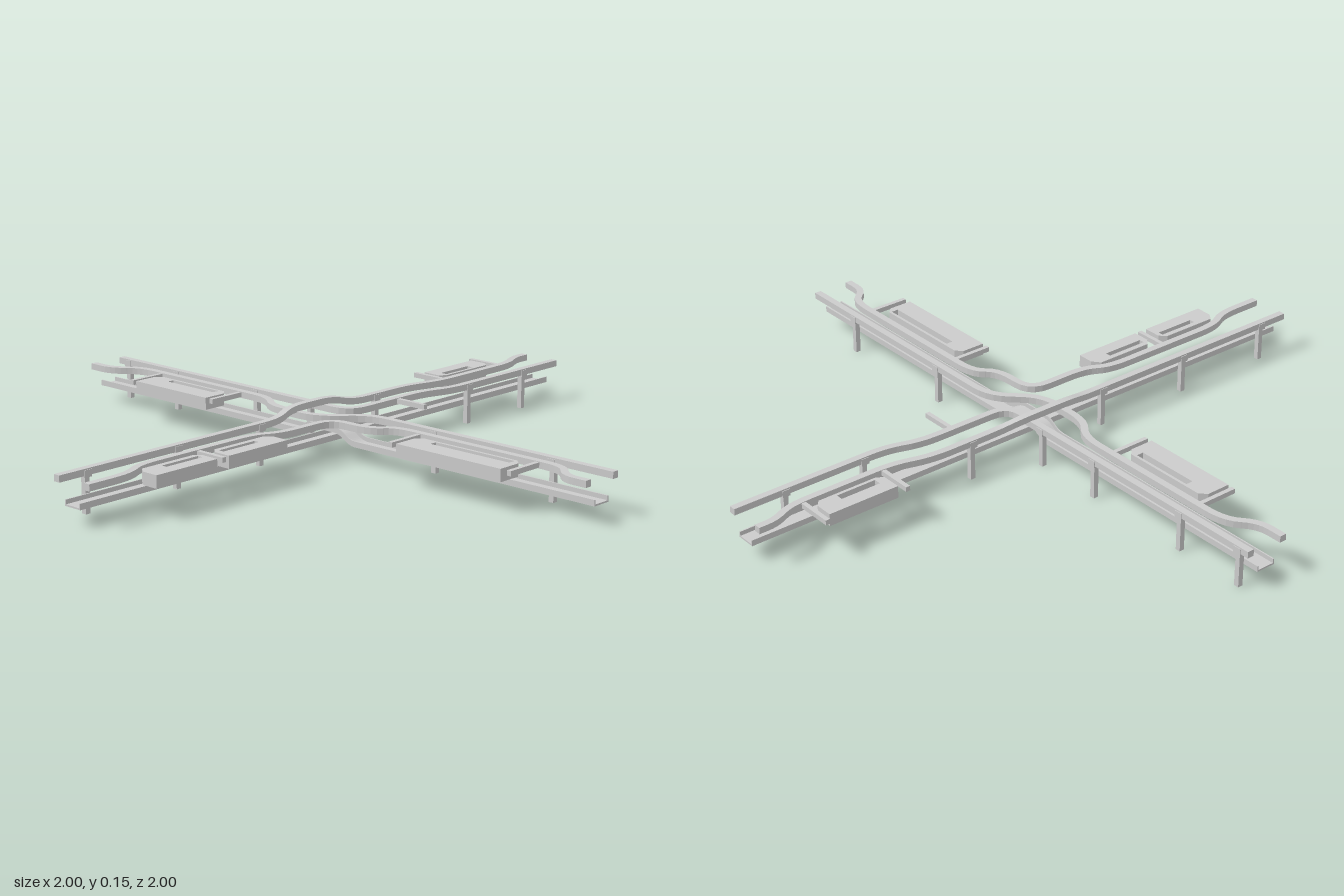
import * as THREE from 'three';

const material = new THREE.MeshStandardMaterial({ color: 0xcccccc, flatShading: true, side: THREE.DoubleSide });

// Polyline of [x, y, z] with its corners rounded off
function roundedPath(points, radius) {
  const p = points.map((a) => new THREE.Vector3(...a));
  const out = [p[0]];
  for (let i = 1; i < p.length - 1; i++) {
    const toPrev = p[i - 1].clone().sub(p[i]);
    const toNext = p[i + 1].clone().sub(p[i]);
    const a = p[i].clone().addScaledVector(toPrev.clone().normalize(), Math.min(radius, toPrev.length() * 0.48));
    const b = p[i].clone().addScaledVector(toNext.clone().normalize(), Math.min(radius, toNext.length() * 0.48));
    out.push(...new THREE.QuadraticBezierCurve3(a, p[i], b).getPoints(5));
  }
  out.push(p[p.length - 1]);
  return out;
}

// Sweep an upright cross-section [side, height] along a path, with closed ends
function sweep(path, profile) {
  const n = profile.length;
  const positions = [];
  const index = [];
  path.forEach((p, i) => {
    const before = p.clone().sub(path[Math.max(i - 1, 0)]).setY(0).normalize();
    const after = path[Math.min(i + 1, path.length - 1)].clone().sub(p).setY(0).normalize();
    const t = before.clone().add(after).normalize();
    const miter = 1 / Math.max(0.7, t.dot(after.lengthSq() ? after : before));
    for (const [u, v] of profile) positions.push(p.x - t.z * u * miter, p.y + v, p.z + t.x * u * miter);
  });
  for (let i = 0; i < path.length - 1; i++) {
    for (let j = 0; j < n; j++) {
      const a = i * n + j, b = i * n + (j + 1) % n;
      index.push(a, a + n, b + n, a, b + n, b);
    }
  }
  const last = (path.length - 1) * n;
  const caps = THREE.ShapeUtils.triangulateShape(profile.map((q) => new THREE.Vector2(...q)), []);
  for (const [a, b, c] of caps) index.push(a, b, c, last + a, last + c, last + b);
  const geometry = new THREE.BufferGeometry();
  geometry.setAttribute('position', new THREE.Float32BufferAttribute(positions, 3));
  geometry.setIndex(index);
  const flat = geometry.toNonIndexed();
  flat.computeVertexNormals();
  return flat;
}

export function createModel() {
  const model = new THREE.Group();
  const add = (name, geometry) => {
    const mesh = new THREE.Mesh(geometry, material);
    mesh.name = name;
    model.add(mesh);
    return mesh;
  };
  // Box given by its low and high corners
  const box = (name, x0, x1, y0, y1, z0, z1) => {
    add(name, new THREE.BoxGeometry(x1 - x0, y1 - y0, z1 - z0))
      .position.set((x0 + x1) / 2, (y0 + y1) / 2, (z0 + z1) / 2);
  };

  // Low channels: one runs straight, the other bridges over it
  const channel = [[-0.031, 0], [0.031, 0], [0.031, 0.018], [0.027, 0.018],
    [0.027, 0.005], [-0.027, 0.005], [-0.027, 0.018], [-0.031, 0.018]];
  add('crossChannel', sweep(roundedPath([[-1, 0.05, -0.002], [1, 0.05, -0.002]], 0), channel));
  add('bridgingChannel', sweep(roundedPath([[-0.002, 0.05, -1], [-0.002, 0.05, -0.11],
    [-0.002, 0.08, -0.06], [-0.002, 0.08, 0.06], [-0.002, 0.05, 0.11], [-0.002, 0.05, 1]], 0.02), channel));

  // High guide rails, as [x, z] or [x, z, y]
  const railProfile = [[-0.011, -0.01], [0.011, -0.01], [0.011, 0.01], [-0.011, 0.01]];
  const rails = {
    backRail: [[-1, -0.065], [-0.16, -0.065], [-0.09, -0.085, 0.14], [0.09, -0.085, 0.14], [0.16, -0.065],
      [0.41, -0.065], [0.52, -0.03], [0.87, -0.03], [0.94, -0.065], [1, -0.065]],
    frontTurningRail: [[-1, 0.058], [-0.85, 0.058], [-0.78, 0.016], [-0.34, 0.016], [-0.27, 0.058],
      [-0.06, 0.058], [-0.06, 0.21], [0.002, 0.26], [0.002, 0.87], [-0.063, 0.92], [-0.063, 1]],
    crossingRail: [[-0.063, -1], [-0.063, -0.91], [0.002, -0.84], [0.002, -0.26], [-0.06, -0.19],
      [-0.06, 0], [0.058, 0.11], [0.058, 1]],
    rightTurningRail: [[0.058, -1], [0.058, 0.022], [0.38, 0.022], [0.48, 0.058], [1, 0.058]],
  };
  for (const [name, points] of Object.entries(rails)) {
    const path = roundedPath(points.map(([x, z, y = 0.12]) => [x, y, z]), 0.065);
    add(name, sweep(path, railProfile));
  }

  // Posts under the straight rails, each with a small saddle on top
  const posts = [[-0.9, -0.065], [-0.565, -0.065], [-0.235, -0.065], [0.265, -0.065], [0.56, 0.058], [0.83, 0.058]];
  for (const z of [-0.96, -0.73, -0.37, -0.14, 0.36, 0.79]) posts.push([0.058, z]);
  for (const [x, z] of posts) {
    box('post', x - 0.008, x + 0.008, 0, 0.112, z - 0.008, z + 0.008);
    box('postSaddle', x - 0.013, x + 0.013, 0.105, 0.126, z - 0.013, z + 0.013);
  }

  // Side arms reaching out from the winding rails
  const r = 0.007;
  for (const z of [-0.737, -0.378, 0.355, 0.785]) box('sideArm', -0.132, 0.008, 0.113, 0.128, z - r, z + r);
  for (const x of [0.56, 0.832]) box('sideArm', x - r, x + r, 0.113, 0.128, -0.157, -0.025);
  box('sideArm', -0.565 - r, -0.565 + r, 0.113, 0.128, 0.015, 0.13);
  box('sideArm', 0.265 - r, 0.265 + r, 0.113, 0.128, 0.02, 0.142);

  // Slotted platforms: outline and slot as [x, z]
  const platform = (outline, [x0, x1, z0, z1]) => {
    const shape = new THREE.Shape(outline.map(([x, z]) => new THREE.Vector2(x, -z)));
    shape.holes.push(new THREE.Path([[x0, z0], [x1, z0], [x1, z1], [x0, z1]].map(([x, z]) => new THREE.Vector2(x, -z))));
    const geometry = new THREE.ExtrudeGeometry(shape, { depth: 0.038, bevelEnabled: false });
    geometry.rotateX(-Math.PI / 2).translate(0, 0.09, 0);
    add('slottedPlatform', geometry);
  };
  const c = 0.02;
  platform([[-0.815, 0.128], [-0.815, 0.075], [-0.797, 0.05], [-0.61, 0.05], [-0.59, 0.07], [-0.59, 0.128]],
    [-0.74, -0.605, 0.067, 0.085]);
  platform([[-0.545, 0.128], [-0.545, 0.07], [-0.525, 0.05], [-0.335, 0.05], [-0.315, 0.075], [-0.315, 0.128]],
    [-0.525, -0.385, 0.067, 0.085]);
  platform([[0.58, -0.137], [0.812, -0.137], [0.812, -0.08], [0.795, -0.06], [0.6, -0.06], [0.58, -0.075]],
    [0.61, 0.74, -0.093, -0.07]);
  for (const [z0, z1, s0, s1] of [[-0.717, -0.4, -0.64, -0.435], [0.378, 0.757, 0.45, 0.735]]) {
    platform([[-0.133, z0], [-0.036 - c, z0], [-0.036, z0 + c], [-0.036, z1 - c], [-0.036 - c, z1], [-0.133, z1]],
      [-0.068, -0.045, s0, s1]);
  }
  return model;
}
